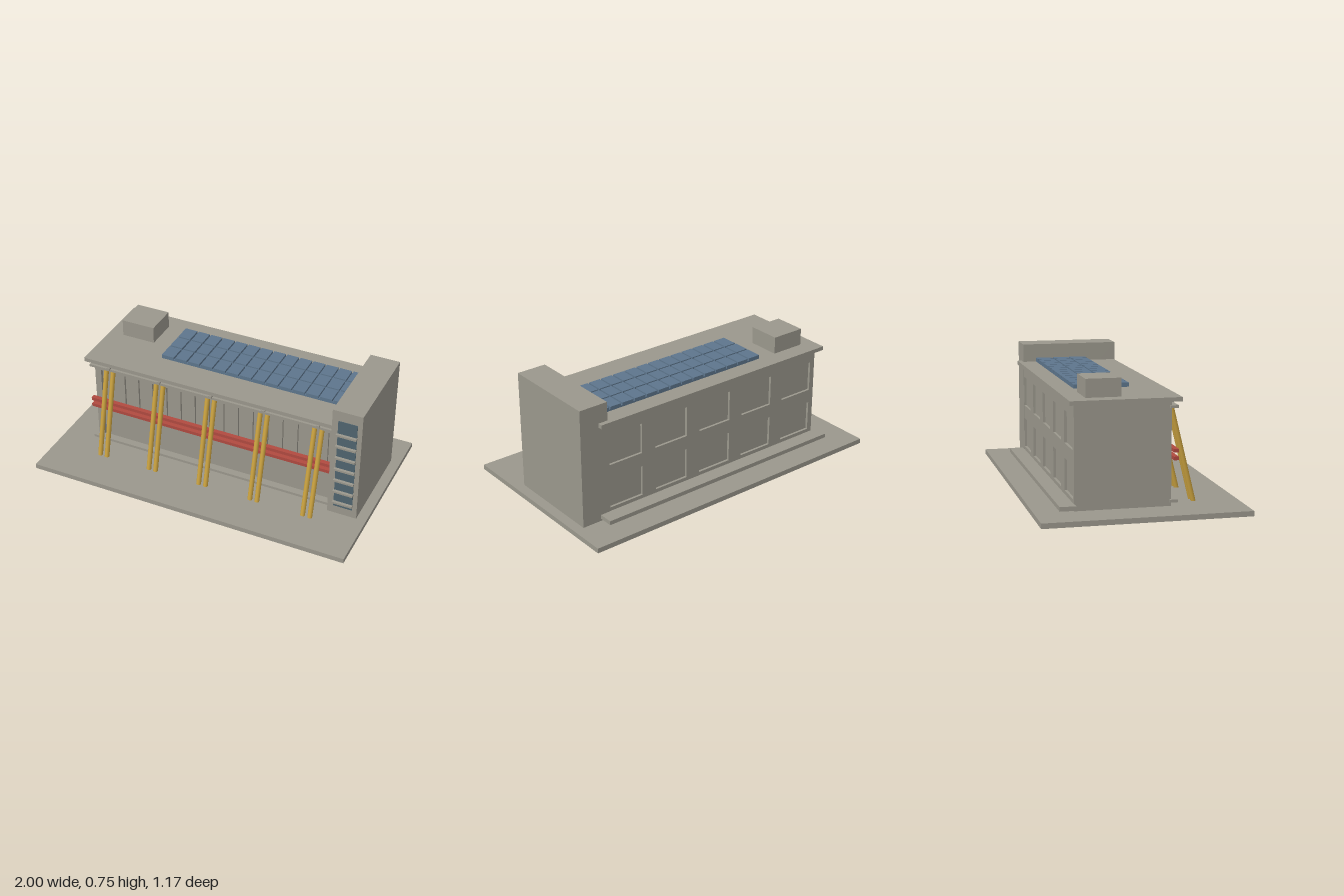
import * as THREE from 'three';

const material = (name, color) => {
  const m = new THREE.MeshStandardMaterial({ color });
  m.name = name;
  return m;
};

export function createModel() {
  const concrete = material('concrete', 0x9a978c);
  const solarBlue = material('solarBlue', 0x5d758c);
  const glass = material('glass', 0x50646e);
  const yellow = material('yellow', 0xc8a03e);
  const red = material('red', 0xb04a40);
  const model = new THREE.Group();
  model.name = 'building';

  // box given by its minimum and maximum on each axis
  const box = (name, mat, [x0, x1], [y0, y1], [z0, z1], parent = model) => {
    const mesh = new THREE.Mesh(new THREE.BoxGeometry(x1 - x0, y1 - y0, z1 - z0), mat);
    mesh.position.set((x0 + x1) / 2, (y0 + y1) / 2, (z0 + z1) / 2);
    mesh.name = name;
    parent.add(mesh);
    return mesh;
  };
  const group = (name) => {
    const g = new THREE.Group();
    g.name = name;
    model.add(g);
    return g;
  };
  const rect = (Type, [x0, x1], [y0, y1]) => new Type([
    new THREE.Vector2(x0, y0), new THREE.Vector2(x1, y0),
    new THREE.Vector2(x1, y1), new THREE.Vector2(x0, y1),
  ]);
  // wall skin with rectangular openings
  const skin = (name, x, y, openings, z0, depth) => {
    const shape = rect(THREE.Shape, x, y);
    openings.forEach(([ox, oy]) => shape.holes.push(rect(THREE.Path, ox, oy)));
    const geo = new THREE.ExtrudeGeometry(shape, { depth, bevelEnabled: false });
    const mesh = new THREE.Mesh(geo, concrete);
    mesh.position.z = z0;
    mesh.name = name;
    model.add(mesh);
  };

  // ground slab, hall and roof
  box('groundSlab', concrete, [-1, 1], [0, 0.03], [-0.587, 0.587]);
  box('hall', concrete, [-0.785, 0.77], [0.03, 0.617], [-0.35, 0.16]);
  box('roofSlab', concrete, [-0.825, 0.82], [0.617, 0.641], [-0.395, 0.23]);
  box('roofHut', concrete, [-0.735, -0.525], [0.641, 0.745], [-0.29, -0.09]);
  box('backLedge', concrete, [-0.825, 0.82], [0.043, 0.068], [-0.453, -0.36]);

  // back wall with two rows of shallow window recesses
  const windows = [];
  for (let i = -2; i <= 2; i++) {
    for (const y of [[0.09, 0.275], [0.36, 0.545]]) {
      windows.push([[i * 0.32 - 0.113, i * 0.32 + 0.113], y]);
    }
  }
  skin('backWall', [-0.785, 0.77], [0.03, 0.617], windows, -0.365, 0.015);

  // front wall frame with upright fins in the upper half
  skin('frontFrame', [-0.785, 0.77], [0.03, 0.617], [[[-0.745, 0.743], [0.05, 0.545]]], 0.16, 0.02);
  const fins = group('frontFins');
  for (let i = 0; i < 16; i++) {
    const x = -0.69 + i * 0.0936;
    box('fin', concrete, [x - 0.008, x + 0.008], [0.31, 0.545], [0.155, 0.175], fins);
  }

  // long rails along the front
  box('topRail', concrete, [-0.8, 0.77], [0.578, 0.593], [0.17, 0.215]);
  box('bottomRail', concrete, [-0.8, 0.77], [0.052, 0.068], [0.17, 0.215]);
  box('lowerRedRail', red, [-0.8, 0.77], [0.288, 0.308], [0.19, 0.218]);
  box('upperRedRail', red, [-0.8, 0.77], [0.331, 0.351], [0.19, 0.218]);

  // pairs of leaning columns
  const columns = group('leaningColumns');
  const foot = new THREE.Vector3(0, 0.028, 0.334);
  const head = new THREE.Vector3(0, 0.58, 0.2);
  const axis = head.clone().sub(foot);
  const columnGeo = new THREE.CylinderGeometry(0.0145, 0.0145, axis.length(), 12);
  for (let i = -2; i <= 2; i++) {
    for (const side of [-1, 1]) {
      const column = new THREE.Mesh(columnGeo, yellow);
      column.position.copy(foot).lerp(head, 0.5);
      column.position.x = i * 0.335 + side * 0.0225;
      column.quaternion.setFromUnitVectors(new THREE.Vector3(0, 1, 0), axis.clone().normalize());
      column.name = 'column';
      columns.add(column);
    }
    const x = i * 0.335;
    box('columnBracket', concrete, [x - 0.01, x + 0.01], [0.585, 0.602], [0.17, 0.22], columns);
  }

  // solar array: raised panels on a common tray
  const solar = group('solarArray');
  box('solarTray', solarBlue, [-0.405, 0.77], [0.641, 0.651], [-0.285, 0.035], solar);
  const cols = 14, rows = 3, w = 1.175 / cols, d = 0.32 / rows;
  for (let i = 0; i < cols; i++) {
    for (let j = 0; j < rows; j++) {
      const x = -0.405 + i * w, z = -0.285 + j * d;
      box('solarPanel', solarBlue, [x + (i ? 0.005 : 0), x + w - 0.005], [0.651, 0.665],
        [z + (j ? 0.005 : 0), z + d - (j < rows - 1 ? 0.005 : 0)], solar);
    }
  }

  // stair tower with glazed strip and sun slats
  box('tower', concrete, [0.76, 0.94], [0.03, 0.753], [-0.367, 0.234]);
  box('towerGlass', glass, [0.797, 0.912], [0.083, 0.688], [0.23, 0.237]);
  const slats = group('towerSlats');
  for (let i = 0; i < 7; i++) {
    const y = 0.116 + i * 0.0803;
    box('slat', concrete, [0.792, 0.914], [y - 0.006, y + 0.006], [0.23, 0.254], slats);
  }
  return model;
}
